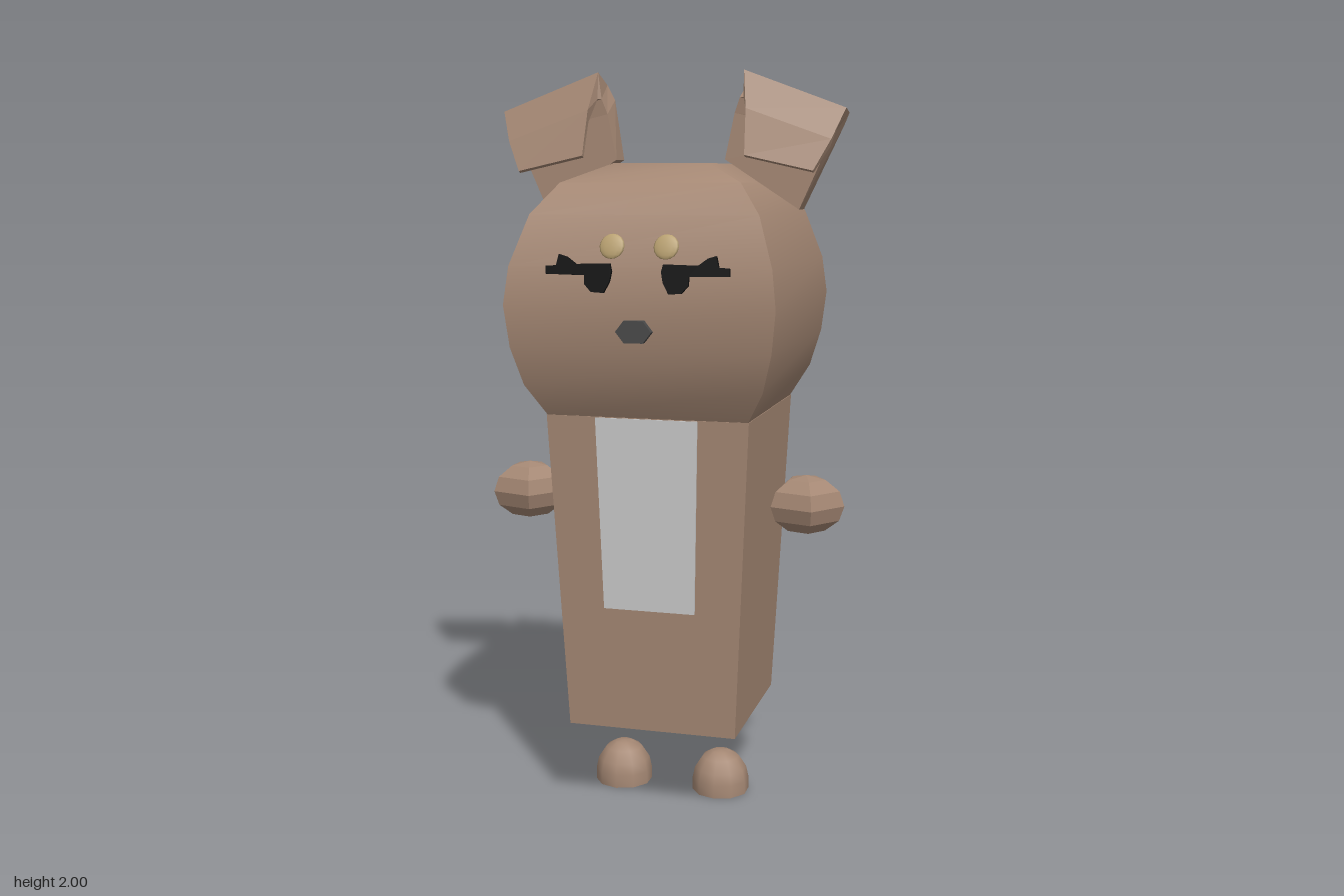
import * as THREE from 'three';
import { toCreasedNormals } from 'three/addons/utils/BufferGeometryUtils.js';

const CX = 0.01, CZ = 0.08; // middle of head and body

const material = (color, flatShading = false) =>
  new THREE.MeshStandardMaterial({ color, flatShading, side: THREE.DoubleSide });

const fur = material(0xa58874);
const flatFur = material(0xa58874, true);
const patchGrey = material(0xcccccc);
const black = material(0x111111, true);
const noseGrey = material(0x4a4a4a, true);
const tan = material(0xb8a070);

// Closed skin over rings of equal length (counter-clockwise seen from the last ring)
function loft(rings) {
  const n = rings[0].length, index = [];
  rings.slice(1).forEach((_, i) => {
    for (let j = 0; j < n; j++) {
      const a = i * n + j, b = i * n + (j + 1) % n;
      index.push(a, b, b + n, a, b + n, a + n);
    }
  });
  const last = (rings.length - 1) * n;
  for (let j = 1; j < n - 1; j++) {
    index.push(0, j + 1, j, last, last + j, last + j + 1);
  }
  const geometry = new THREE.BufferGeometry();
  geometry.setAttribute('position', new THREE.Float32BufferAttribute(rings.flat(2), 3));
  geometry.setIndex(index);
  geometry.computeVertexNormals();
  return geometry;
}

// Square ring of half width h at height y
const square = ([h, y]) => [[1, 1], [1, -1], [-1, -1], [-1, 1]]
  .map(([x, z]) => [CX + x * h, y, CZ + z * h]);

// Folded ear: stalk up the back, flap hanging down the front
function earGeometry(side) {
  // inner edge (inside, outside of fold), then outer edge (outside, inside)
  const sections = [
    [[0.15, 1.77, 0.12], [0.15, 1.77, 0.05], [0.35, 1.64, 0.05], [0.35, 1.64, 0.12]],
    [[0.175, 1.89, 0.118], [0.175, 1.93, 0.05], [0.455, 1.86, 0.05], [0.435, 1.83, 0.118]],
    [[0.19, 1.93, 0.122], [0.195, 1.97, 0.055], [0.468, 1.89, 0.055], [0.45, 1.855, 0.122]],
    [[0.2, 1.93, 0.126], [0.2, 2.0, 0.12], [0.47, 1.9, 0.12], [0.45, 1.855, 0.126]],
    [[0.218, 1.87, 0.15], [0.215, 1.9, 0.165], [0.44, 1.82, 0.165], [0.435, 1.8, 0.15]],
    [[0.22, 1.775, 0.188], [0.22, 1.78, 0.2], [0.4, 1.74, 0.2], [0.4, 1.735, 0.188]],
  ];
  const rings = sections.map((s) => s.map(([x, y, z]) => [CX + side * x, y, z]));
  return loft(side > 0 ? rings.map((r) => r.reverse()) : rings);
}

// Bent five-sided tail that starts in a point
function tailGeometry() {
  const path = [ // y, z, radius, lean of the section
    [0.417, -0.237, 0.006, 0], [0.432, -0.318, 0.043, 0.45],
    [0.487, -0.378, 0.047, 0.9], [0.547, -0.425, 0.047, 0.85], [0.574, -0.443, 0.022, 0.85],
  ];
  return loft(path.map(([y, z, r, lean]) => {
    const ty = Math.sin(lean), tz = -Math.cos(lean);
    return [0, 1, 2, 3, 4].map((k) => {
      const a = -Math.PI / 2 + k * Math.PI * 0.4;
      const u = r * Math.cos(a), v = r * Math.sin(a);
      return [0.03 + u, y + v * tz, z - v * ty];
    });
  }));
}

// Eye with its lashes, drawn around the eye centre
function eyeGeometry(side) {
  const outline = [
    [-0.035, 0.015], [-0.03, -0.012], [-0.015, -0.04], [0.018, -0.038], [0.036, -0.018],
    [0.036, 0.004], [0.14, 0.006], [0.14, 0.026], [0.112, 0.028], [0.105, 0.056],
    [0.085, 0.05], [0.06, 0.032], [-0.03, 0.034],
  ];
  const shape = new THREE.Shape(outline.map(([x, y]) => new THREE.Vector2(side * x, y)));
  return new THREE.ExtrudeGeometry(shape, { depth: 0.014, bevelEnabled: false });
}

export function createModel() {
  const model = new THREE.Group();
  const add = (name, geometry, mat, x = 0, y = 0, z = 0) => {
    const mesh = new THREE.Mesh(geometry, mat);
    mesh.name = name;
    mesh.position.set(x, y, z);
    model.add(mesh);
    return mesh;
  };

  // Head: rounded up and down, square from above
  const headProfile = [
    [0.27, 1.105], [0.318, 1.19], [0.345, 1.29], [0.357, 1.4],
    [0.345, 1.5], [0.302, 1.63], [0.24, 1.71], [0.13, 1.76],
  ];
  add('head', toCreasedNormals(loft(headProfile.map(square)), 0.6), fur);

  // Tapered body
  add('body', loft([[0.232, 0.245], [0.273, 1.107]].map(square)), flatFur);

  // Chest patch lying on the sloping front
  add('chestPatch', loft([[0.125, 0.585, 0.331], [0.138, 1.105, 0.355]].map(([h, y, z]) =>
    [[CX + h, y, z + 0.002], [CX + h, y, z - 0.004], [CX - h, y, z - 0.004], [CX - h, y, z + 0.002]])),
  material(0xcccccc, true));

  // Tail
  add('tail', tailGeometry(), flatFur);

  // Nose
  const noseShape = new THREE.Shape([[-0.047, 0], [-0.025, -0.028], [0.025, -0.028],
    [0.047, 0], [0.025, 0.028], [-0.025, 0.028]].map((p) => new THREE.Vector2(...p)));
  add('nose', new THREE.ExtrudeGeometry(noseShape, { depth: 0.018, bevelEnabled: false }),
    noseGrey, CX, 1.342, 0.446);

  const footProfile = [[0, 0], [0.08, 0], [0.08, 0.035], [0.073, 0.066], [0.052, 0.098],
    [0.025, 0.114], [0, 0.117]].map((p) => new THREE.Vector2(...p));
  const footGeometry = toCreasedNormals(new THREE.LatheGeometry(footProfile, 10), 0.9);
  const handGeometry = new THREE.SphereGeometry(0.105, 5, 6, Math.PI);

  for (const [side, label] of [[1, 'left'], [-1, 'right']]) {
    // Ears
    add(label + 'Ear', earGeometry(side), flatFur);

    // Eyes and brow spots
    add(label + 'Eye', eyeGeometry(side), black, CX + side * 0.1, 1.475, 0.424).rotation.x = -0.1;
    const brow = add(label + 'BrowSpot', new THREE.SphereGeometry(0.033, 12, 8), tan,
      CX + side * 0.071, 1.552, 0.408);
    brow.scale.z = 0.25;
    brow.rotation.x = -0.33;

    // Hands and feet
    add(label + 'Hand', handGeometry, flatFur, side > 0 ? 0.386 : -0.41, 0.85, 0.1).scale.y = 0.77;
    add(label + 'Foot', footGeometry, fur, side * 0.144, 0, 0.07);
  }

  return model;
}
